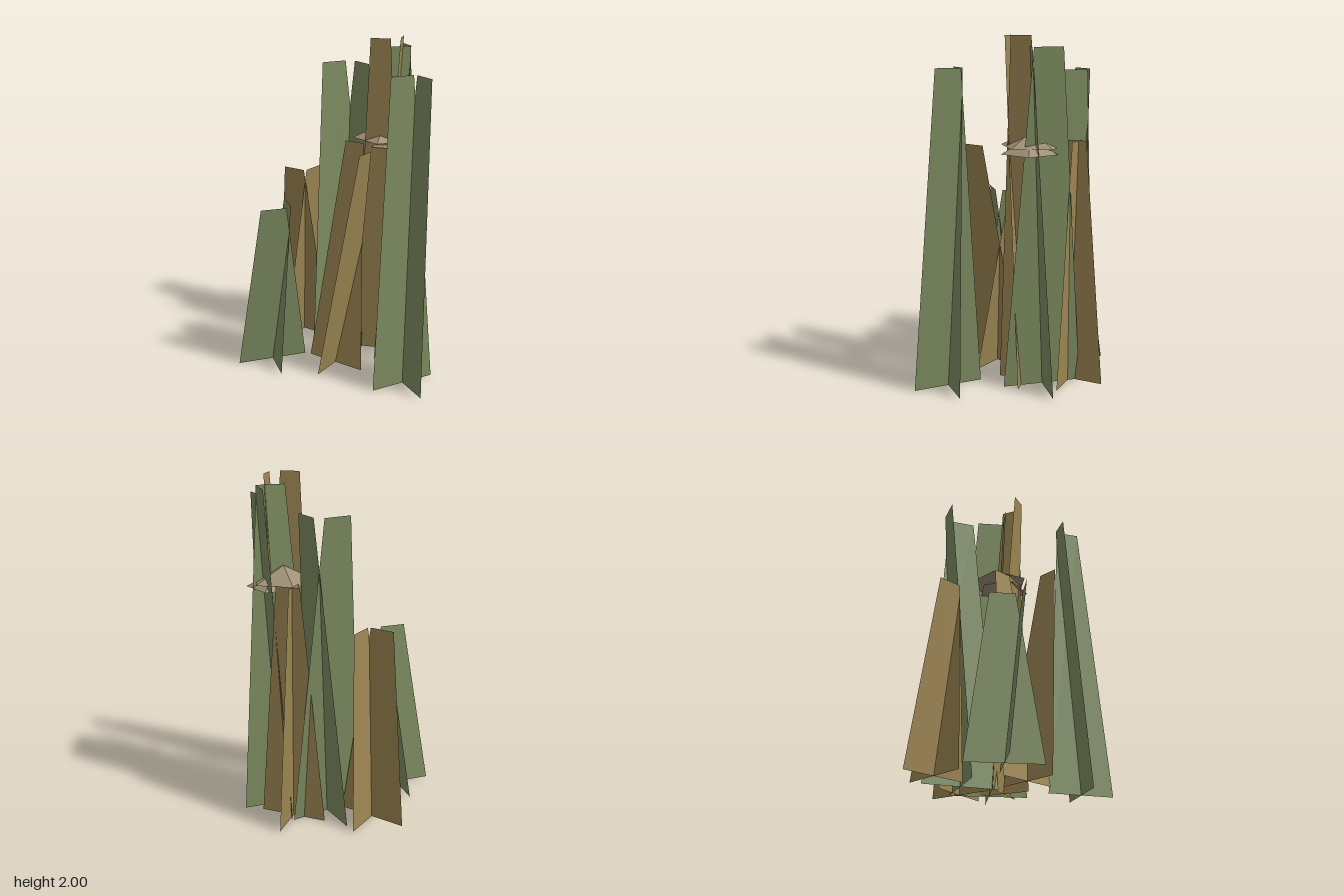
import * as THREE from 'three';

const material = (color) => new THREE.MeshStandardMaterial({ color, flatShading: true, side: THREE.DoubleSide });

// One tapered blade: base centred on the origin, leaning towards angle a (from +x to +z)
function bladeGeometry(width, topWidth, height, lean, a) {
  const geometry = new THREE.PlaneGeometry(1, 1);
  const p = geometry.attributes.position;
  const ux = Math.cos(a), uz = Math.sin(a);
  for (let i = 0; i < p.count; i++) {
    const t = p.getY(i) + 0.5;
    const s = p.getX(i) * THREE.MathUtils.lerp(width, topWidth, t);
    p.setXYZ(i, ux * lean * t - uz * s, height * t, uz * lean * t + ux * s);
  }
  geometry.computeVertexNormals();
  return geometry;
}

// Two blades crossing at right angles, each leaning along its own normal
function clump(name, mat, { x, z, width, height, lean, angle, taper = 0.36 }) {
  const group = new THREE.Group();
  group.name = name;
  for (let i = 0; i < 2; i++) {
    const a = THREE.MathUtils.degToRad(angle + i * 90);
    const blade = new THREE.Mesh(bladeGeometry(width, width * taper, height, lean, a), mat);
    blade.name = 'blade';
    group.add(blade);
  }
  group.position.set(x, 0, z);
  return group;
}

export function createModel() {
  const model = new THREE.Group();
  model.name = 'crossedStalks';
  const green = material(0x7d8c60);
  const brown = material(0x9c8552);
  const tan = material(0xa09078);

  // Green stalks
  [
    { x: -0.386, z: 0.049, width: 0.43, height: 1.03, lean: 0.114, angle: -17.6 },
    { x: 0.408, z: 0.363, width: 0.406, height: 1.83, lean: 0.086, angle: 243.6 },
    { x: 0.071, z: -0.29, width: 0.457, height: 1.81, lean: 0.124, angle: 240.4 },
    { x: 0.346, z: -0.181, width: 0.46, height: 1.94, lean: 0.089, angle: -17.2 },
  ].forEach((s) => model.add(clump('greenStalk', green, s)));

  // Brown stalks
  [
    { x: -0.194, z: -0.376, width: 0.417, height: 1.15, lean: 0.087, angle: 35.4 },
    { x: 0.01, z: 0.105, width: 0.38, height: 1.38, lean: 0.204, angle: -55.2, taper: 0.33 },
    { x: 0.273, z: -0.343, width: 0.4, height: 1.42, lean: 0.025, angle: 202.5 },
    { x: 0.292, z: -0.083, width: 0.32, height: 2.0, lean: 0.107, angle: 13.9 },
  ].forEach((s) => model.add(clump('brownStalk', brown, s)));

  // Two overlapping faceted caps around the tall stalks
  [
    { x: 0.31, y: 1.395, z: -0.12, radius: 0.19, turn: -Math.PI / 2 },
    { x: 0.36, y: 1.36, z: -0.105, radius: 0.165, turn: Math.PI / 2 },
  ].forEach(({ x, y, z, radius, turn }) => {
    const cap = new THREE.Mesh(new THREE.ConeGeometry(radius, 0.09, 5), tan);
    cap.name = 'cap';
    cap.position.set(x, y + 0.045, z);
    cap.rotation.y = turn;
    model.add(cap);
  });

  return model;
}
